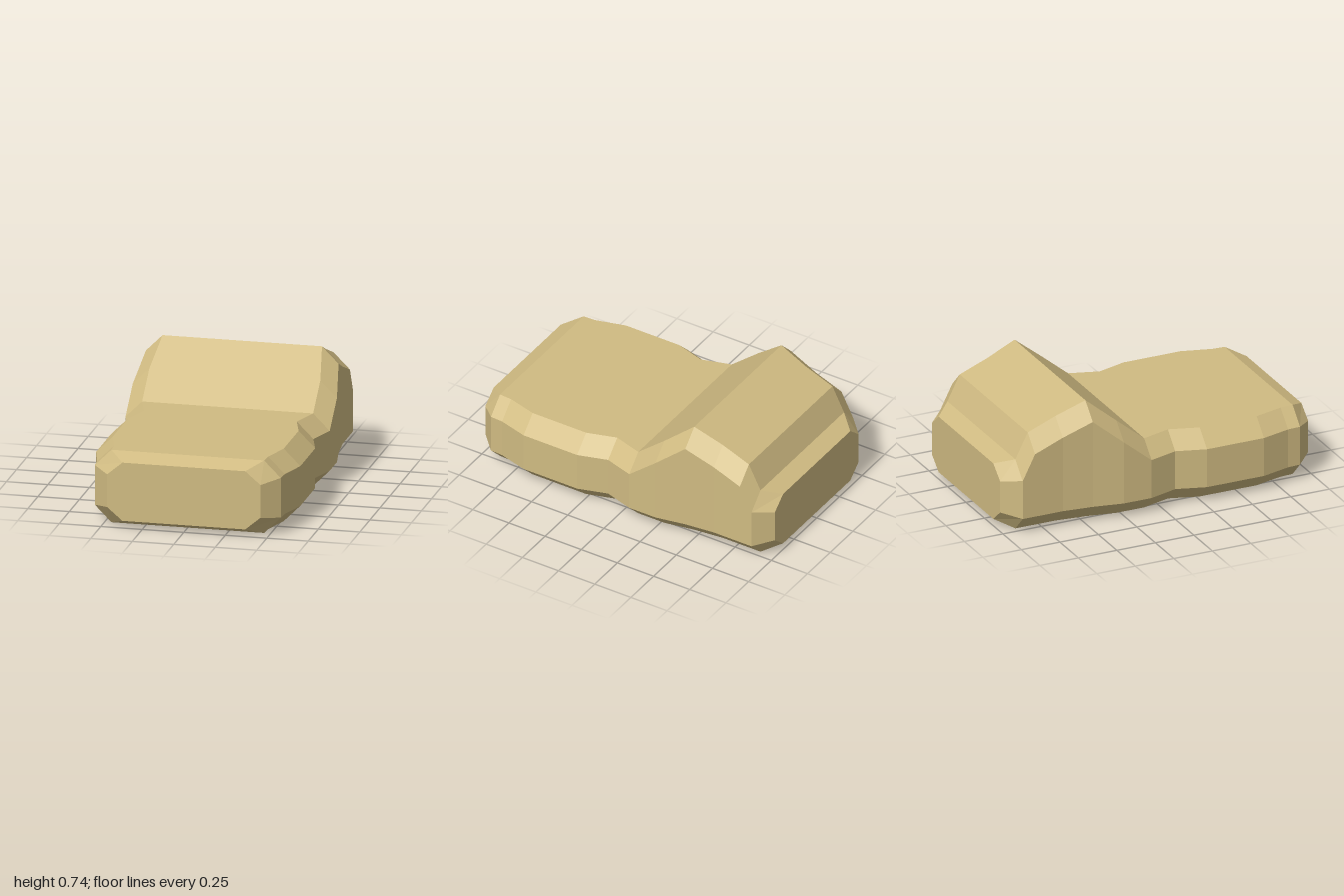
import * as THREE from 'three';

// Chamfered cross-section, counter-clockwise when seen from the front
function section([z, halfWidth, top, bottom = 0, cx = 0.1, cy = 0.1]) {
  const inner = halfWidth - cx;
  const right = [
    [inner, bottom], [halfWidth, bottom + cy],
    [halfWidth, top - cy], [inner, top],
  ];
  const left = right.map(([x, y]) => [-x, y]).reverse();
  return [...right, ...left].map(([x, y]) => [x, y, z]);
}

// Skin the sections from front to back and close both ends
function loft(sections) {
  const n = sections[0].length;
  const positions = sections.flat(2);
  const index = [];
  for (let i = 0; i < sections.length - 1; i++) {
    for (let j = 0; j < n; j++) {
      const k = (j + 1) % n;
      const a = i * n + j, b = i * n + k, c = b + n, d = a + n;
      index.push(a, d, c, a, c, b);
    }
  }
  const last = (sections.length - 1) * n;
  for (let j = 1; j < n - 1; j++) {
    index.push(0, j, j + 1);
    index.push(last, last + j + 1, last + j);
  }
  const geometry = new THREE.BufferGeometry();
  geometry.setAttribute('position', new THREE.Float32BufferAttribute(positions, 3));
  geometry.setIndex(index);
  const flat = geometry.toNonIndexed();
  flat.computeVertexNormals();
  return flat;
}

export function createModel() {
  const group = new THREE.Group();
  group.name = 'model';

  // z, half width, top height, then bottom height and chamfer for the ends
  const profile = [
    [1.0, 0.462, 0.4, 0.044, 0.092, 0.078],
    [0.9, 0.56, 0.443],
    [0.82, 0.565, 0.443],
    [0.64, 0.615, 0.443],
    [0.27, 0.615, 0.443],
    [0.09, 0.56, 0.443], // waist
    [-0.09, 0.615, 0.443],
    [-0.27, 0.615, 0.592],
    [-0.455, 0.58, 0.744], // ridge
    [-0.64, 0.56, 0.671],
    [-0.82, 0.56, 0.6],
    [-0.9, 0.56, 0.443],
    [-1.0, 0.462, 0.4, 0.044, 0.092, 0.078],
  ];

  const body = new THREE.Mesh(
    loft(profile.map(section)),
    new THREE.MeshStandardMaterial({ color: 0xd0bb82, flatShading: true }),
  );
  body.name = 'body';
  group.add(body);
  return group;
}
